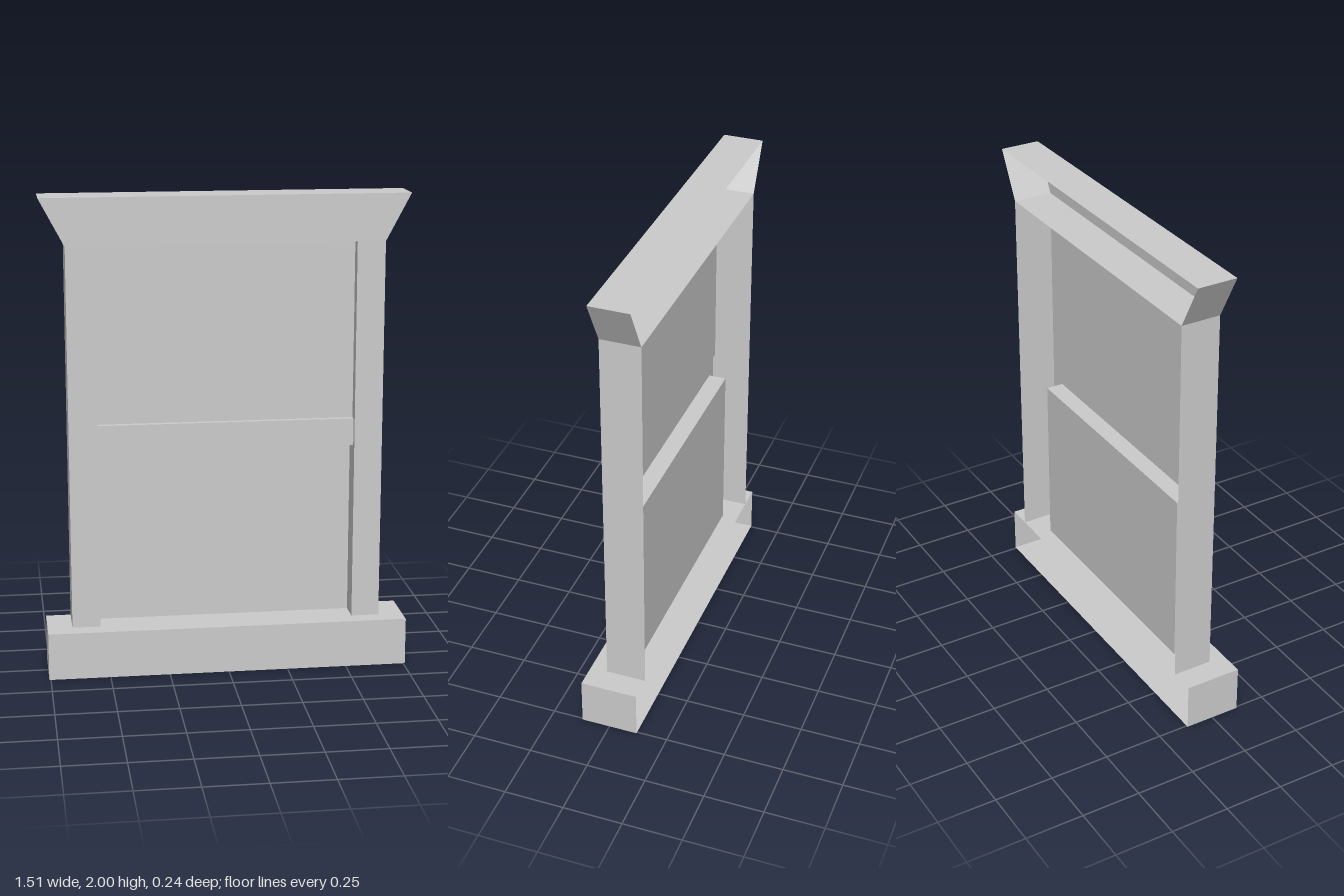
import * as THREE from 'three';

const material = new THREE.MeshStandardMaterial({ color: 0xcccccc, side: THREE.DoubleSide, flatShading: true });

// Main sizes
const FRONT = 0.048, BACK = -0.12, SILL_FRONT = 0.12;
const SILL_TOP = 0.2, LINTEL = 1.804, TOP = 2;
const WIDE = 0.757, OUTER = 0.653, INNER = 0.536;

// Stepped section of the sashes, bottom to top, as [z, y]
const sashProfile = [
  [-0.05, SILL_TOP], [-0.05, 0.946], [0.025, 0.946],
  [0.025, 1.06], [0, 1.06], [0, LINTEL],
];

function addMesh(parent, name, geometry) {
  const mesh = new THREE.Mesh(geometry, material);
  mesh.name = name;
  parent.add(mesh);
  return mesh;
}

// Flat quads joining two matching lines of points
function strip(a, b) {
  const positions = [];
  for (let i = 0; i < a.length - 1; i++) {
    for (const p of [a[i], b[i], b[i + 1], a[i], b[i + 1], a[i + 1]]) positions.push(...p);
  }
  const geometry = new THREE.BufferGeometry();
  geometry.setAttribute('position', new THREE.Float32BufferAttribute(positions, 3));
  geometry.computeVertexNormals();
  return geometry;
}

function face(points) {
  return new THREE.ShapeGeometry(new THREE.Shape(points.map(([x, y]) => new THREE.Vector2(x, y))));
}

// Walls running back from an outline in x and y
function walls(points, front) {
  return strip(points.map(([x, y]) => [x, y, front]), points.map(([x, y]) => [x, y, BACK]));
}

// Hollow block with an open back
function openBlock(name, points, front) {
  const group = new THREE.Group();
  group.name = name;
  addMesh(group, name + 'Front', face(points).translate(0, 0, front));
  addMesh(group, name + 'Walls', walls([...points, points[0]], front));
  return group;
}

// Side post: front board, outer side, and a reveal that follows the sashes
function jamb(name) {
  const group = new THREE.Group();
  group.name = name;
  addMesh(group, 'jambFront',
    face([[INNER, SILL_TOP], [OUTER, SILL_TOP], [OUTER, LINTEL], [INNER, LINTEL]]).translate(0, 0, FRONT));
  addMesh(group, 'jambOuterSide', walls([[OUTER, SILL_TOP], [OUTER, LINTEL]], FRONT));
  const reveal = face([[FRONT, LINTEL], [FRONT, SILL_TOP], ...sashProfile]);
  addMesh(group, 'jambReveal', reveal.rotateY(-Math.PI / 2).translate(INNER, 0, 0));
  return group;
}

export function createModel() {
  const model = new THREE.Group();
  model.name = 'sashWindow';

  model.add(openBlock('sill',
    [[-WIDE, 0], [WIDE, 0], [WIDE, SILL_TOP], [-WIDE, SILL_TOP]], SILL_FRONT));
  model.add(openBlock('header',
    [[-OUTER, LINTEL], [OUTER, LINTEL], [WIDE, TOP], [-WIDE, TOP]], FRONT));

  const rightJamb = jamb('rightJamb');
  rightJamb.scale.x = -1;
  model.add(jamb('leftJamb'), rightJamb);

  // Lower pane, meeting rail and upper pane
  addMesh(model, 'sashes', strip(
    sashProfile.map(([z, y]) => [-INNER, y, z]),
    sashProfile.map(([z, y]) => [INNER, y, z])));

  return model;
}
